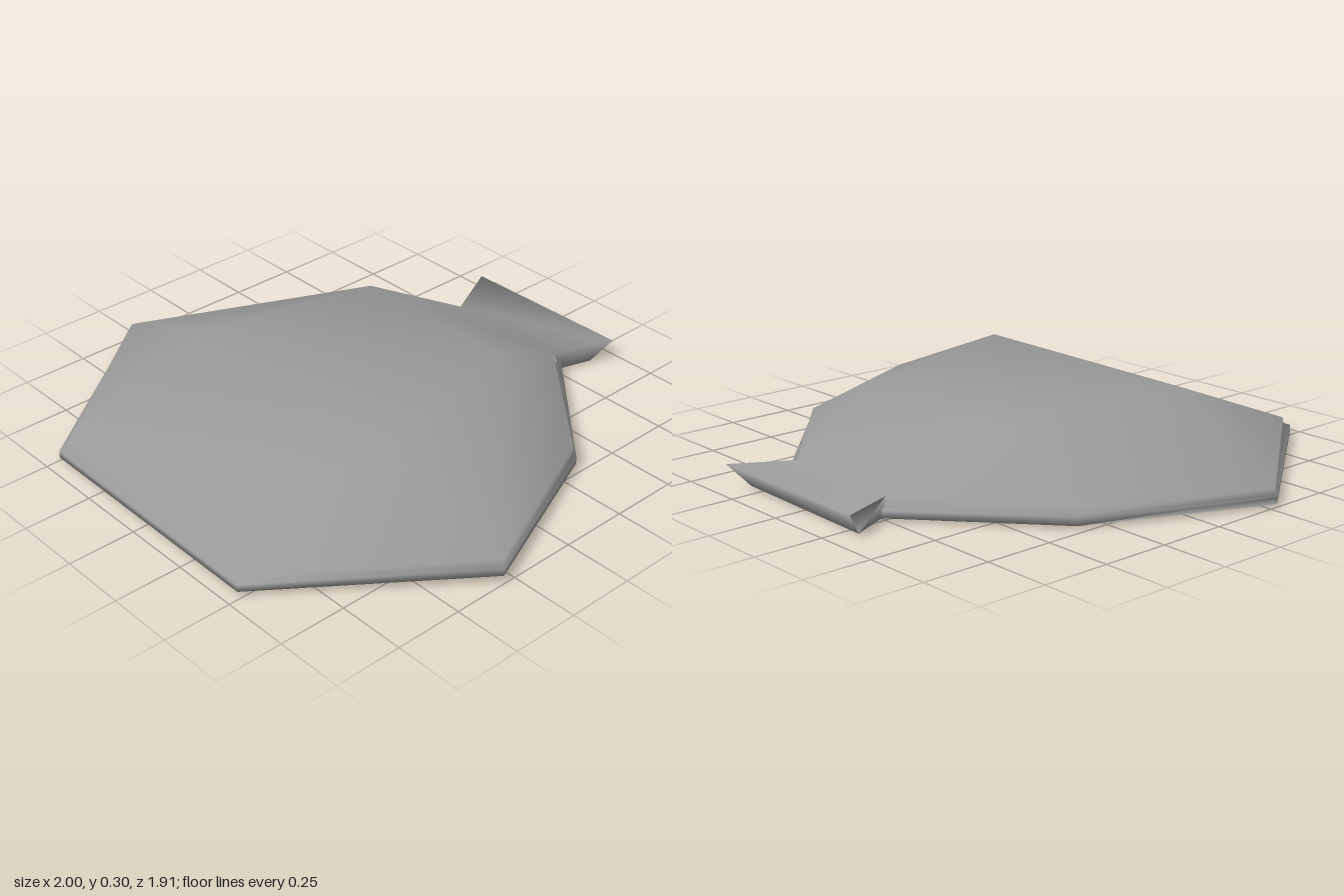
import * as THREE from 'three';
import { mergeVertices } from 'three/addons/utils/BufferGeometryUtils.js';

export function createModel() {
  const group = new THREE.Group();
  const grey = new THREE.MeshStandardMaterial({ color: 0x9a9a9a });
  grey.name = 'stone grey';

  // Triangles are gathered part by part, so all parts share smooth normals
  const pos = [], parts = [];
  const tri = (a, b, c) => {
    const [A, B, C] = [a, b, c].map((p) => new THREE.Vector3(...p));
    if (B.sub(A).cross(C.sub(A)).length() > 1e-6) pos.push(...a, ...b, ...c);
  };
  const quad = (a, b, c, d) => { tri(a, b, c); tri(a, c, d); };
  // Wall between two rings, counterclockwise seen from above; one side may stay open
  const wall = (lo, hi, open = -1) => lo.forEach((p, i) => {
    const j = (i + 1) % lo.length;
    if (i !== open) quad(p, lo[j], hi[j], hi[i]);
  });
  const part = (name, build) => {
    const start = pos.length / 3;
    build();
    parts.push({ name, start, end: pos.length / 3 });
  };

  // Eight-sided plan: outer rim and the slightly smaller foot of the dome
  const outer = [[-0.5, 0.945], [0.485, 0.955], [1, 0.3], [0.725, -0.34],
    [0.265, -0.765], [-0.25, -0.765], [-0.72, -0.35], [-1, 0.28]];
  const inner = [[-0.49, 0.92], [0.475, 0.925], [0.992, 0.297], [0.715, -0.337],
    [0.25, -0.74], [-0.235, -0.74], [-0.712, -0.346], [-0.996, 0.277]];
  const floor = [0.012, 0.016, 0.033, 0.018, 0.012, 0.01, 0.01, 0.01];
  const ring = (plan, height) => plan.map(([x, z], i) => [x, height(x, i), z]);
  const bottom = ring(outer, (x, i) => floor[i]);
  const lip = ring(outer, (x, i) => floor[i] + 0.026);
  const foot = ring(inner, (x, i) => floor[i] + 0.032);
  const edge = ring(inner.map(([x, z]) => [x * 0.997, z * 0.992]), (x) => 0.077 + 0.0125 * x);

  // Four plateau corners, spread over the eight sides
  const spread = (fl, fr, br, bl) => [fl, fr, fr, br, br, bl, bl, fl];
  const corners = [[-0.49, 0.287, 0.36], [0.485, 0.297, 0.36],
    [0.34, 0.266, -0.36], [-0.34, 0.264, -0.36]];
  const ceiling = corners.map(([x, y, z]) => [x * 0.96, y - 0.035, z * 0.97]);

  // Domed top with its flat plateau
  part('dome', () => {
    wall(edge, spread(...corners));
    quad(...corners);
  });

  // Stepped rim, open where the tail joins
  const back = 4;
  part('rim', () => {
    wall(bottom, lip, back);
    wall(lip, foot, back);
    wall(foot, edge, back);
  });

  // Hollow underside following the dome, facing down and inward
  part('hollow', () => {
    wall(spread(...ceiling), bottom);
    quad(...ceiling.slice().reverse());
  });

  // Flared tail with an undercut end
  part('tail', () => {
    const low = [bottom[5], bottom[4], [0.3, 0.01, -0.89], [-0.295, 0, -0.89]];
    const high = [edge[5], edge[4], [0.345, 0.09, -0.957], [-0.335, 0.086, -0.952]];
    for (const i of [1, 2, 3]) {
      const j = (i + 1) % 4;
      quad(low[i], low[j], high[j], high[i]);
    }
    quad(...high);
    quad(...low.slice().reverse());
  });

  // Weld, smooth, then hand each part its own faces
  const raw = new THREE.BufferGeometry();
  raw.setAttribute('position', new THREE.Float32BufferAttribute(pos, 3));
  const welded = mergeVertices(raw);
  welded.computeVertexNormals();
  const index = Array.from(welded.index.array);
  for (const { name, start, end } of parts) {
    const geo = new THREE.BufferGeometry();
    geo.setAttribute('position', welded.attributes.position);
    geo.setAttribute('normal', welded.attributes.normal);
    geo.setIndex(index.slice(start, end));
    const mesh = new THREE.Mesh(geo, grey);
    mesh.name = name;
    group.add(mesh);
  }
  return group;
}
